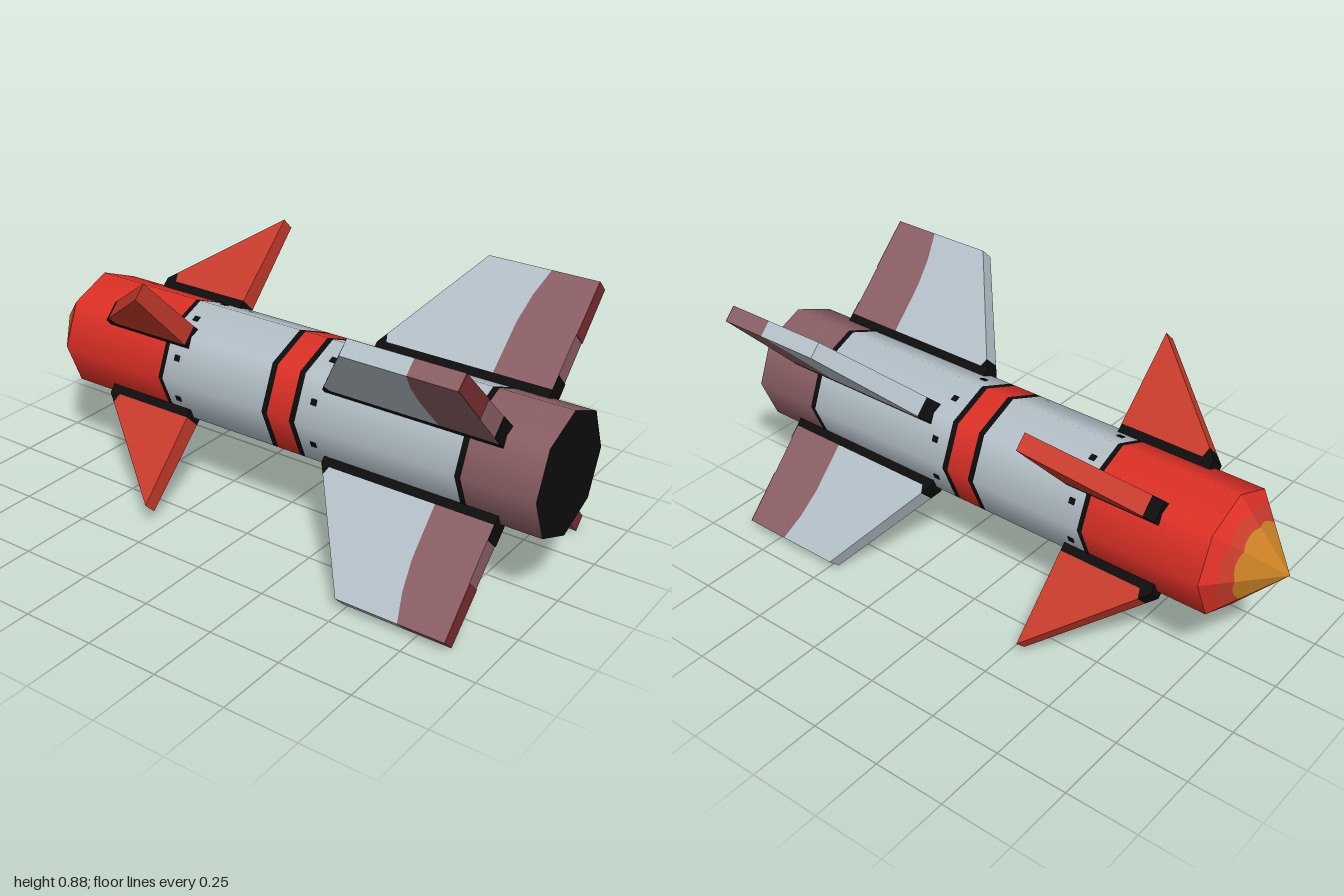
import * as THREE from 'three';

const R = 0.208, CY = 0.44, NOSE_BASE = -0.813;

function mat(name, color) {
  const m = new THREE.MeshStandardMaterial({ color });
  m.name = name;
  return m;
}

export function createModel() {
  const grey = mat('paleGrey', 0xb4c0c8);
  const rose = mat('dustyRose', 0x8a5f64);
  const red = mat('brightRed', 0xdd3026);
  const finRed = mat('brickRed', 0xc83c2c);
  const darkRed = mat('darkRed', 0x782e32);
  const orange = mat('orange', 0xc98024);
  const black = mat('black', 0x0d0d0d);

  const root = new THREE.Group();
  root.name = 'missile';
  const craft = new THREE.Group();
  craft.name = 'airframe';
  craft.position.y = CY;
  root.add(craft);

  function add(parent, name, geo, material) {
    const mesh = new THREE.Mesh(geo, material);
    mesh.name = name;
    parent.add(mesh);
    return mesh;
  }

  // Eight-sided body, one tube per painted section
  const sections = [
    ['tailSection', 1, 0.754, rose],
    ['tailSeam', 0.754, 0.734, black],
    ['rearBody', 0.734, 0.16, grey],
    ['bandEdgeRear', 0.16, 0.139, black],
    ['redBand', 0.139, 0.053, red],
    ['bandEdgeFront', 0.053, 0.032, black],
    ['middleBody', 0.032, -0.379, grey],
    ['noseSeam', -0.379, -0.396, black],
    ['noseSection', -0.396, NOSE_BASE, red],
  ];
  for (const [name, z0, z1, m] of sections) {
    const g = new THREE.CylinderGeometry(R, R, z0 - z1, 8, 1, true);
    g.rotateX(Math.PI / 2).translate(0, 0, (z0 + z1) / 2);
    add(craft, name, g, m);
  }
  add(craft, 'tailCap', new THREE.CircleGeometry(R, 8).translate(0, 0, 1), black);

  // Eight-sided nose cone, divided by round paint lines
  const SEG = 32;
  const facet = a => {
    const s = Math.PI / 4;
    return Math.cos(a - Math.floor(a / s + 1e-6) * s - s / 2) / Math.cos(s / 2);
  };
  function noseRing(inner, outer) {
    const pos = [], idx = [];
    for (let i = 0; i <= SEG; i++) {
      const a = (i / SEG) * Math.PI * 2;
      for (const rr of [inner, outer]) {
        const r = Math.min(rr, R / facet(a));
        const z = -1 + (NOSE_BASE + 1) * r * facet(a) / R;
        pos.push(r * Math.cos(a), r * Math.sin(a), z);
      }
      if (i < SEG) {
        const k = i * 2;
        idx.push(k, k + 2, k + 1, k + 1, k + 2, k + 3);
      }
    }
    const g = new THREE.BufferGeometry();
    g.setAttribute('position', new THREE.Float32BufferAttribute(pos, 3));
    g.setIndex(idx);
    const flat = g.toNonIndexed();
    flat.computeVertexNormals();
    return flat;
  }
  add(craft, 'noseTip', noseRing(0, 0.125), orange);
  add(craft, 'noseRing', noseRing(0.125, 0.16), finRed);
  add(craft, 'noseCone', noseRing(0.16, 1), red);

  // Slab from a (radius, z) outline, thinning towards the fin tip
  function slab(points, extra = 0) {
    const shape = new THREE.Shape(points.map(p => new THREE.Vector2(p[0], p[1])));
    const g = new THREE.ExtrudeGeometry(shape, { depth: 2, bevelEnabled: false });
    g.translate(0, 0, -1);
    const p = g.attributes.position;
    for (let i = 0; i < p.count; i++) {
      const half = 0.0355 - 0.0195 * (p.getX(i) - 0.2) + extra;
      p.setZ(i, p.getZ(i) * half);
    }
    g.rotateX(Math.PI / 2);
    g.computeVertexNormals();
    return g;
  }

  const paintLine = [[0.222, 0.66], [0.4, 0.662], [0.5, 0.675], [0.594, 0.70]];
  const finParts = [
    ['rearFinRoot', black, [[0.15, 0.86], [0.15, 0.243], [0.215, 0.243],
      [0.25, 0.265], [0.222, 0.275], [0.222, 0.86]]],
    ['rearFinPanel', grey, [[0.222, 0.275], [0.25, 0.265], [0.594, 0.48],
      ...[...paintLine].reverse()]],
    ['rearFinTrailingPanel', rose, [...paintLine, [0.594, 0.86], [0.222, 0.86]]],
    ['rearFinEdgeRoot', black, [[0.15, 0.859], [0.27, 0.859], [0.27, 0.863], [0.15, 0.863]]],
    ['rearFinEdgeTip', darkRed, [[0.408, 0.859], [0.594, 0.859], [0.594, 0.863], [0.408, 0.863]]],
    ['frontFinRoot', black, [[0.15, -0.3], [0.222, -0.3], [0.222, -0.6],
      [0.255, -0.609], [0.226, -0.64], [0.15, -0.64]]],
    ['frontFinPanel', finRed, [[0.222, -0.3], [0.545, -0.3], [0.255, -0.609], [0.222, -0.6]]],
  ].map(([name, m, pts]) => [name, slab(pts), m]);

  // Four diagonal sets of rear and front fins
  for (let k = 0; k < 4; k++) {
    const fins = new THREE.Group();
    fins.name = 'finSet' + (k + 1);
    fins.rotation.z = Math.PI / 4 + (k * Math.PI) / 2;
    for (const [name, g, m] of finParts) add(fins, name, g, m);
    craft.add(fins);
  }

  // Small bolts in the middle of each body facet
  const bolt = new THREE.BoxGeometry(0.006, 0.02, 0.02);
  for (const z of [0.213, -0.337]) {
    for (let k = 0; k < 8; k++) {
      const a = Math.PI / 8 + (k * Math.PI) / 4;
      const d = R * Math.cos(Math.PI / 8);
      const b = add(craft, 'bolt', bolt, black);
      b.position.set(d * Math.cos(a), d * Math.sin(a), z);
      b.rotation.z = a;
    }
  }
  return root;
}
